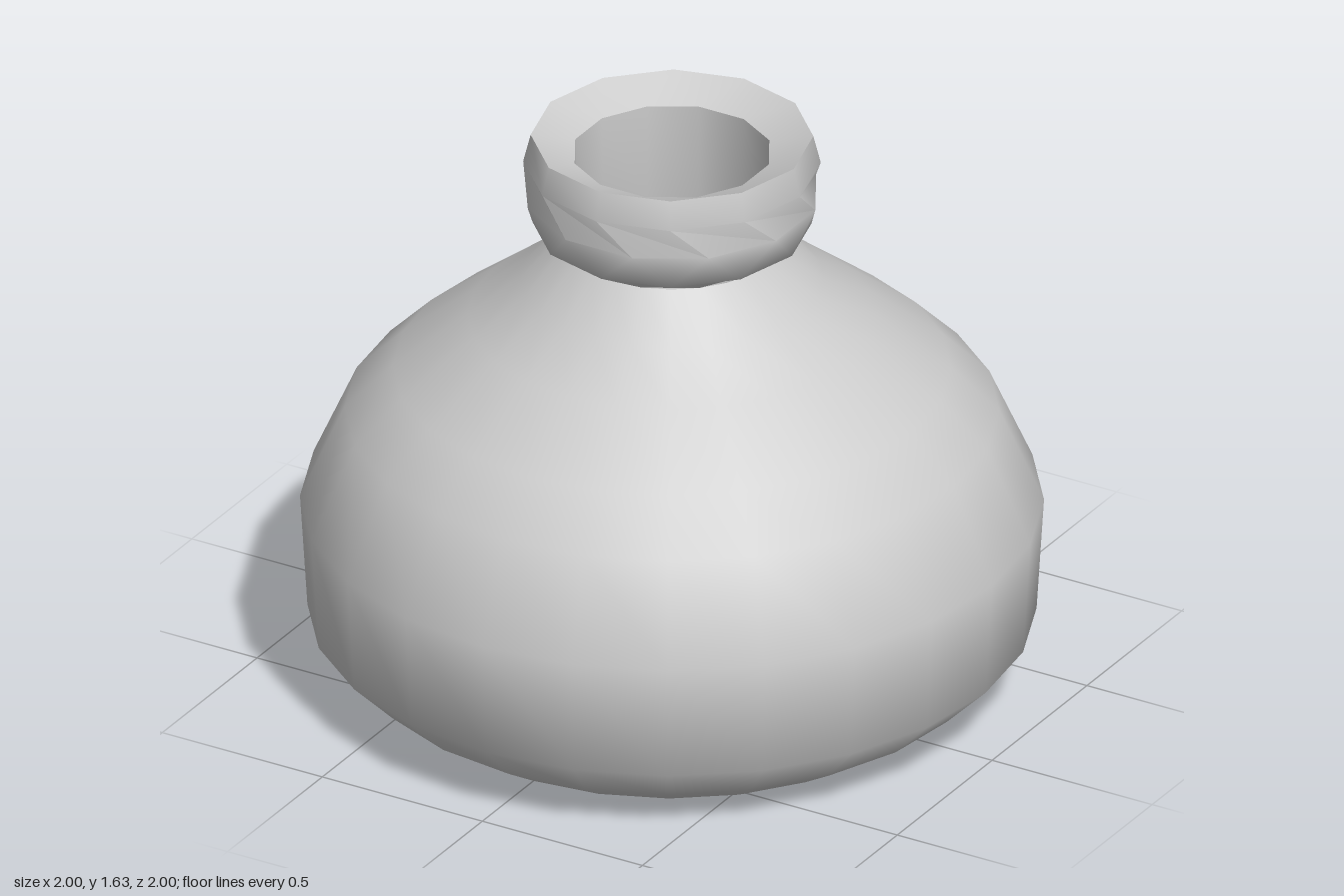
import * as THREE from 'three';
import { mergeVertices, toCreasedNormals } from 'three/addons/utils/BufferGeometryUtils.js';

// Turned surface; rings listed in `twisted` are rotated by half a side
function turned(profile, sides, crease, twisted = []) {
  const points = profile.map(([r, y]) => new THREE.Vector2(r, y));
  const lathe = new THREE.LatheGeometry(points, sides);
  const pos = lathe.attributes.position;
  const v = new THREE.Vector3();
  const up = new THREE.Vector3(0, 1, 0);
  for (let i = 0; i < pos.count; i++) {
    if (!twisted.includes(i % points.length)) continue;
    v.fromBufferAttribute(pos, i).applyAxisAngle(up, Math.PI / sides);
    pos.setXYZ(i, v.x, v.y, v.z);
  }
  lathe.deleteAttribute('uv');
  lathe.deleteAttribute('normal');
  return toCreasedNormals(mergeVertices(lathe, 1e-4), crease);
}

export function createModel() {
  const model = new THREE.Group();
  model.name = 'flask';
  const clay = new THREE.MeshStandardMaterial({ color: 0xcccccc });
  clay.name = 'pale grey';

  const add = (name, geometry) => {
    const mesh = new THREE.Mesh(geometry, clay);
    mesh.name = name;
    model.add(mesh);
  };

  // Wide body with a flat base, tapering to the neck
  add('body', turned([
    [0, 0], [0.73, 0], [0.86, 0.08], [0.98, 0.2], [1, 0.53], [0.88, 0.8],
    [0.75, 0.93], [0.55, 1.085], [0.41, 1.195], [0.3, 1.32],
  ], 24, 0.95));

  // Rounded collar, its rings set half a side apart
  add('collar', turned([
    [0.3, 1.32], [0.375, 1.365], [0.4, 1.46], [0.4, 1.55], [0.38, 1.63],
  ], 12, 1.1, [0, 2]));

  // Lip sloping in to the mouth
  add('lip', turned([[0.38, 1.63], [0.27, 1.58]], 12, 0.5, [1]));

  // Hollow inside with a rounded floor
  add('inside', turned([
    [0.27, 1.58], [0.265, 1.3], [0.3, 1.15], [0.29, 1.0], [0.22, 0.89], [0.12, 0.83], [0, 0.81],
  ], 12, 1.1, [0, 1, 2, 3, 4, 5]));

  return model;
}
